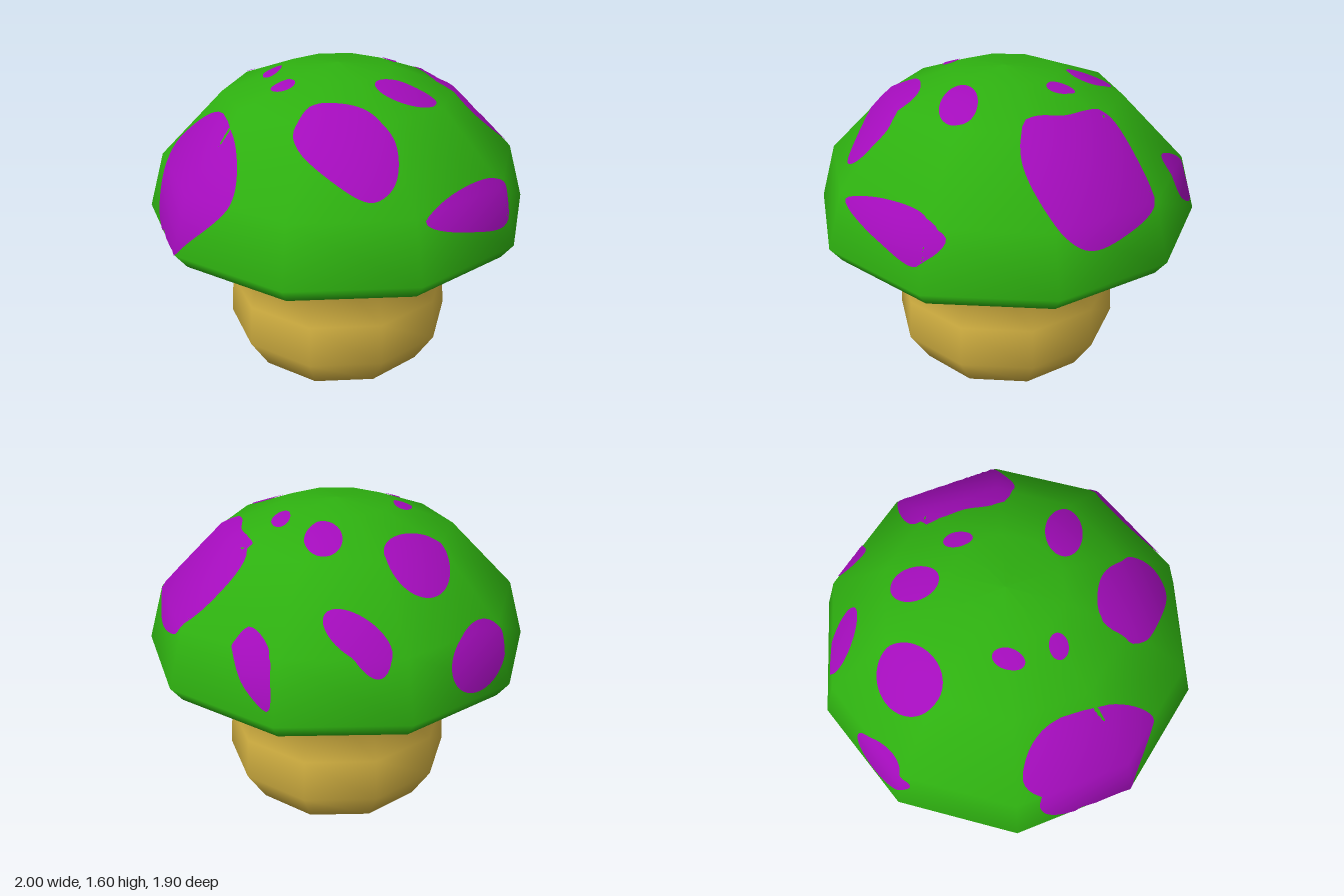
import * as THREE from 'three';

const SIDES = 10;

// Radius and height from the middle of the base, up the stem, out under the cap, over to the top
const PROFILE = [
  [0, 0], [0.5, 0], [0.605, 0.17], [0.59, 0.39], [0.48, 0.76],
  [0.94, 0.76], [1, 0.84], [0.915, 1.13], [0.59, 1.46], [0.28, 1.575], [0, 1.6],
].map(([r, y]) => new THREE.Vector2(r, y));

// Sides from which spots are laid on to the cap: a flat point becomes a point outside the model
const FROM = {
  front: (a, b) => new THREE.Vector3(a, b, 3),
  back: (a, b) => new THREE.Vector3(a, b, -3),
  right: (a, b) => new THREE.Vector3(3, b, a),
  top: (a, b) => new THREE.Vector3(a, 3, b),
};

const lathe = (points) => new THREE.LatheGeometry(points, SIDES, Math.PI / 2);

// One stretch of the profile, with normals taken from the whole so shading flows across the joins
function section(first, last) {
  const body = lathe(PROFILE);
  body.normalizeNormals();
  const whole = body.attributes.normal;
  const geometry = lathe(PROFILE.slice(first, last + 1));
  const normal = geometry.attributes.normal;
  const count = last - first + 1;
  for (let i = 0; i <= SIDES; i++) {
    for (let j = 0; j < count; j++) {
      const k = i * PROFILE.length + first + j;
      normal.setXYZ(i * count + j, whole.getX(k), whole.getY(k), whole.getZ(k));
    }
  }
  return geometry;
}

// Oval outline: centre, half sizes and tilt in degrees
function oval(x, y, rx, ry, tilt) {
  const turn = THREE.MathUtils.degToRad(tilt);
  return new THREE.EllipseCurve(x, y, rx, ry, 0, Math.PI * 2, false, turn);
}

// Rounded outline through a few points
function blob(...points) {
  return new THREE.CatmullRomCurve3(points.map(([a, b]) => new THREE.Vector3(a, b, 0)), true);
}

// Thin patch draped over the cap: rings from the middle of the outline to its edge
function spotGeometry(cap, side, outline) {
  const around = 56, rings = 12, lift = 0.005;
  const edge = outline.getSpacedPoints(around).slice(0, around);
  const anticlockwise = THREE.ShapeUtils.area(edge) > 0;
  if (anticlockwise !== (side === 'front')) edge.reverse();
  const middle = edge[0].clone().multiplyScalar(0);
  edge.forEach((p) => middle.addScaledVector(p, 1 / around));

  const ray = new THREE.Raycaster();
  const inward = FROM[side](0, 0).normalize().negate();
  const positions = [], normals = [], index = [];
  const drape = (p) => {
    ray.set(FROM[side](p.x + 0.0001, p.y + 0.0001), inward);
    const hit = ray.intersectObject(cap)[0];
    const n = hit.normal.clone().normalize();
    positions.push(...hit.point.addScaledVector(n, lift).toArray());
    normals.push(...n.toArray());
  };
  drape(middle);
  for (let r = 1; r <= rings; r++) {
    edge.forEach((p) => drape(middle.clone().lerp(p, r / rings)));
  }
  for (let i = 0; i < around; i++) {
    const next = (i + 1) % around;
    index.push(0, 1 + i, 1 + next);
    for (let r = 1; r < rings; r++) {
      const a = 1 + (r - 1) * around, b = a + around;
      index.push(a + i, b + i, b + next, a + i, b + next, a + next);
    }
  }
  const geometry = new THREE.BufferGeometry();
  geometry.setAttribute('position', new THREE.Float32BufferAttribute(positions, 3));
  geometry.setAttribute('normal', new THREE.Float32BufferAttribute(normals, 3));
  geometry.setIndex(index);
  return geometry;
}

function material(name, color) {
  const m = new THREE.MeshStandardMaterial({ color });
  m.name = name;
  return m;
}

export function createModel() {
  const group = new THREE.Group();
  group.name = 'mushroom';
  const tan = material('tan', 0xd2b041);
  const green = material('green', 0x2eb010);
  const purple = material('purple', 0xa30cbb);

  const add = (name, geometry, mat, parent = group) => {
    const mesh = new THREE.Mesh(geometry, mat);
    mesh.name = name;
    parent.add(mesh);
    return mesh;
  };

  // Stem, underside and cap
  add('stem', section(0, 4), tan);
  add('capUnderside', section(4, 5), tan);
  const cap = add('cap', section(5, 10), green);

  const spots = new THREE.Group();
  spots.name = 'spots';
  group.add(spots);
  const spot = (name, side, outline) => add(name, spotGeometry(cap, side, outline), purple, spots);

  // Large spots around the sides
  spot('frontRightSpot', 'front', blob([-0.51, 1.36], [-0.51, 1.17], [-0.74, 0.915], [-0.86, 0.81],
    [-0.92, 0.87], [-0.875, 1.13], [-0.765, 1.27], [-0.56, 1.41]));
  spot('frontSpot', 'front', blob([-0.24, 1.41], [-0.17, 1.5], [-0.04, 1.515], [0.13, 1.48],
    [0.215, 1.385], [0.2, 1.25], [0.1, 1.19], [-0.055, 1.25]));
  spot('frontLeftSpot', 'front', blob([0.325, 1.11], [0.44, 1.16], [0.705, 1.165], [0.78, 1.09],
    [0.755, 0.955], [0.545, 0.99], [0.35, 1.075]));
  spot('leftSpot', 'right', blob([0.085, 1.355], [0.04, 1.485], [-0.17, 1.485], [-0.375, 1.465],
    [-0.495, 1.28], [-0.52, 1.115], [-0.35, 1.025], [-0.17, 1.01], [-0.03, 1.12]));
  spot('backLeftSpot', 'right', blob([-0.69, 1.205], [-0.84, 1.135], [-0.875, 1.05], [-0.915, 0.9],
    [-0.81, 0.975], [-0.72, 1.13]));
  spot('backRightSpot', 'back', oval(-0.635, 1.02, 0.143, 0.15, 0));
  spot('backSpot', 'top', oval(-0.065, -0.805, 0.16, 0.068, 24));

  // Smaller spots near the top
  spot('upperBackRightSpot', 'top', oval(-0.355, -0.46, 0.177, 0.138, -45));
  spot('upperBackSpot', 'top', oval(0.075, -0.415, 0.088, 0.117, 0));
  spot('upperLeftSpot', 'top', oval(0.275, -0.205, 0.046, 0.07, 0));
  spot('upperRightSpot', 'top', oval(-0.33, -0.005, 0.045, 0.075, 18));
  spot('upperFrontRightSpot', 'top', oval(-0.28, 0.222, 0.059, 0.045, 0));
  spot('upperFrontLeftSpot', 'top', oval(0.3, 0.295, 0.147, 0.09, 10));

  return group;
}
